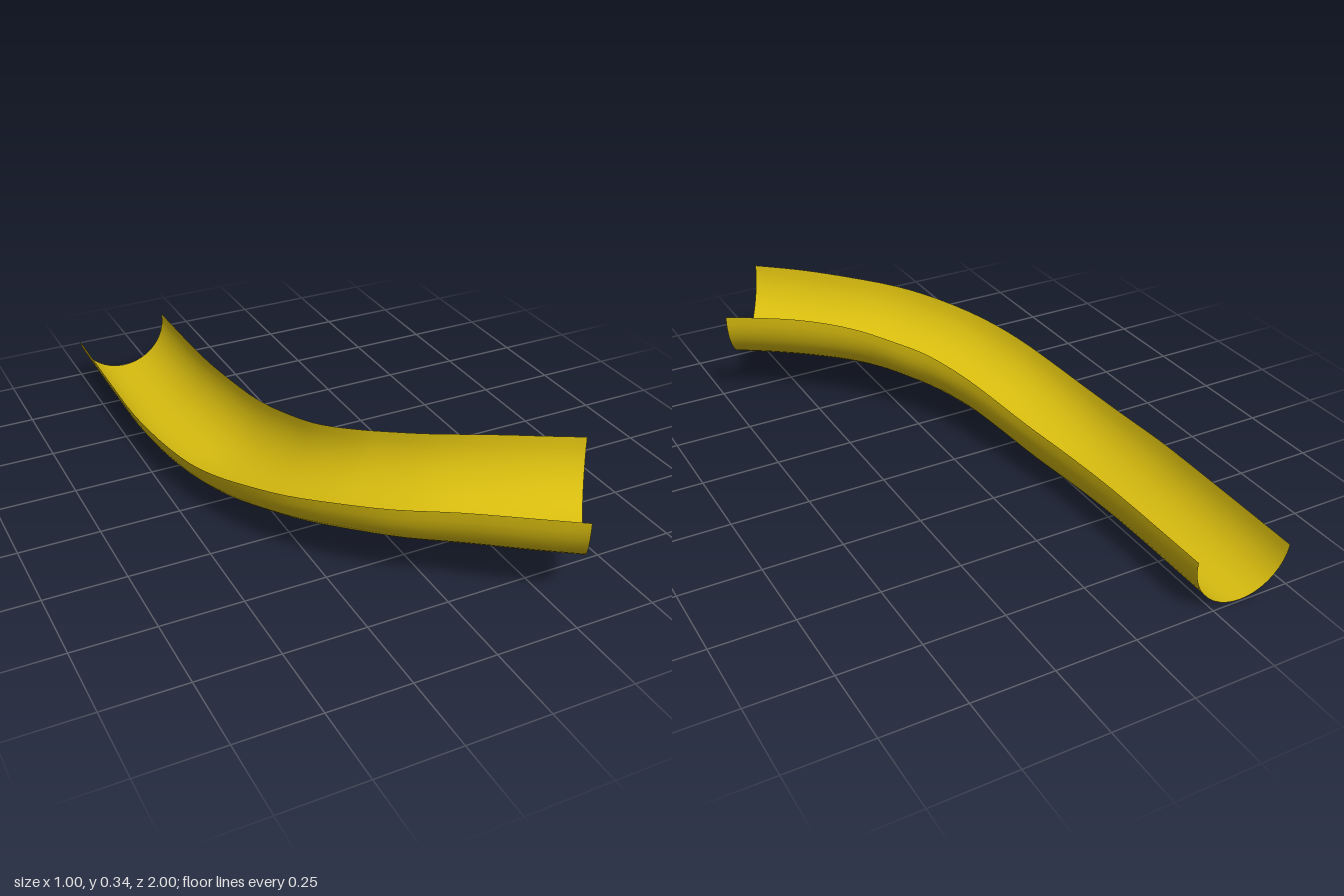
import * as THREE from 'three';

// Rim lines of the open channel, back to front: [x, y, z]
const OUTER = [
  [-0.495, 0.14, -1], [-0.5, 0.142, -0.6], [-0.5, 0.143, -0.4], [-0.485, 0.148, -0.2],
  [-0.46, 0.165, 0], [-0.43, 0.19, 0.14], [-0.39, 0.22, 0.27], [-0.33, 0.25, 0.41],
  [-0.24, 0.28, 0.55], [-0.14, 0.302, 0.67], [0, 0.322, 0.79], [0.13, 0.333, 0.9], [0.26, 0.338, 1],
];
const INNER = [
  [-0.185, 0.185, -0.995], [-0.18, 0.188, -0.6], [-0.165, 0.192, -0.4], [-0.14, 0.2, -0.2],
  [-0.1, 0.23, 0], [-0.07, 0.25, 0.1], [-0.01, 0.28, 0.22], [0.06, 0.3, 0.31],
  [0.13, 0.318, 0.39], [0.21, 0.332, 0.46], [0.3, 0.341, 0.525], [0.395, 0.344, 0.585], [0.5, 0.345, 0.645],
];
// Depth of the half-round section below the rims
const DEPTH = [0.154, 0.157, 0.161, 0.166, 0.164, 0.167, 0.173, 0.177, 0.183, 0.19, 0.197, 0.2, 0.201];

const curve = (pts) => new THREE.CatmullRomCurve3(pts.map((p) => new THREE.Vector3(...p)));

function channelGeometry(rows, cols) {
  const outer = curve(OUTER), inner = curve(INNER);
  const depth = curve(DEPTH.map((d, i) => [d, i, 0]));
  const positions = [], index = [];
  const up = new THREE.Vector3(0, 1, 0);
  for (let i = 0; i <= rows; i++) {
    const t = i / rows;
    const a = outer.getPoint(t), b = inner.getPoint(t);
    const middle = a.clone().add(b).multiplyScalar(0.5);
    const half = a.clone().sub(b).multiplyScalar(0.5);
    // Downward direction square to the line between the rims
    const side = half.clone().normalize();
    const down = up.clone().addScaledVector(side, -up.dot(side)).normalize().multiplyScalar(-depth.getPoint(t).x);
    for (let j = 0; j <= cols; j++) {
      const angle = (Math.PI * j) / cols;
      const p = middle.clone().addScaledVector(half, Math.cos(angle)).addScaledVector(down, Math.sin(angle));
      positions.push(p.x, p.y, p.z);
      if (i < rows && j < cols) {
        const k = i * (cols + 1) + j, n = k + cols + 1;
        index.push(k, n, k + 1, k + 1, n, n + 1);
      }
    }
  }
  const geometry = new THREE.BufferGeometry();
  geometry.setAttribute('position', new THREE.Float32BufferAttribute(positions, 3));
  geometry.setIndex(index);
  geometry.computeVertexNormals();
  return geometry;
}

export function createModel() {
  const group = new THREE.Group();
  group.name = 'curvedChute';
  const material = new THREE.MeshStandardMaterial({ color: 0xd9bd0f, side: THREE.DoubleSide });
  const channel = new THREE.Mesh(channelGeometry(36, 20), material);
  channel.name = 'channel';
  // Rest the lowest point on the ground
  channel.geometry.computeBoundingBox();
  channel.position.y = -channel.geometry.boundingBox.min.y;
  group.add(channel);
  return group;
}
